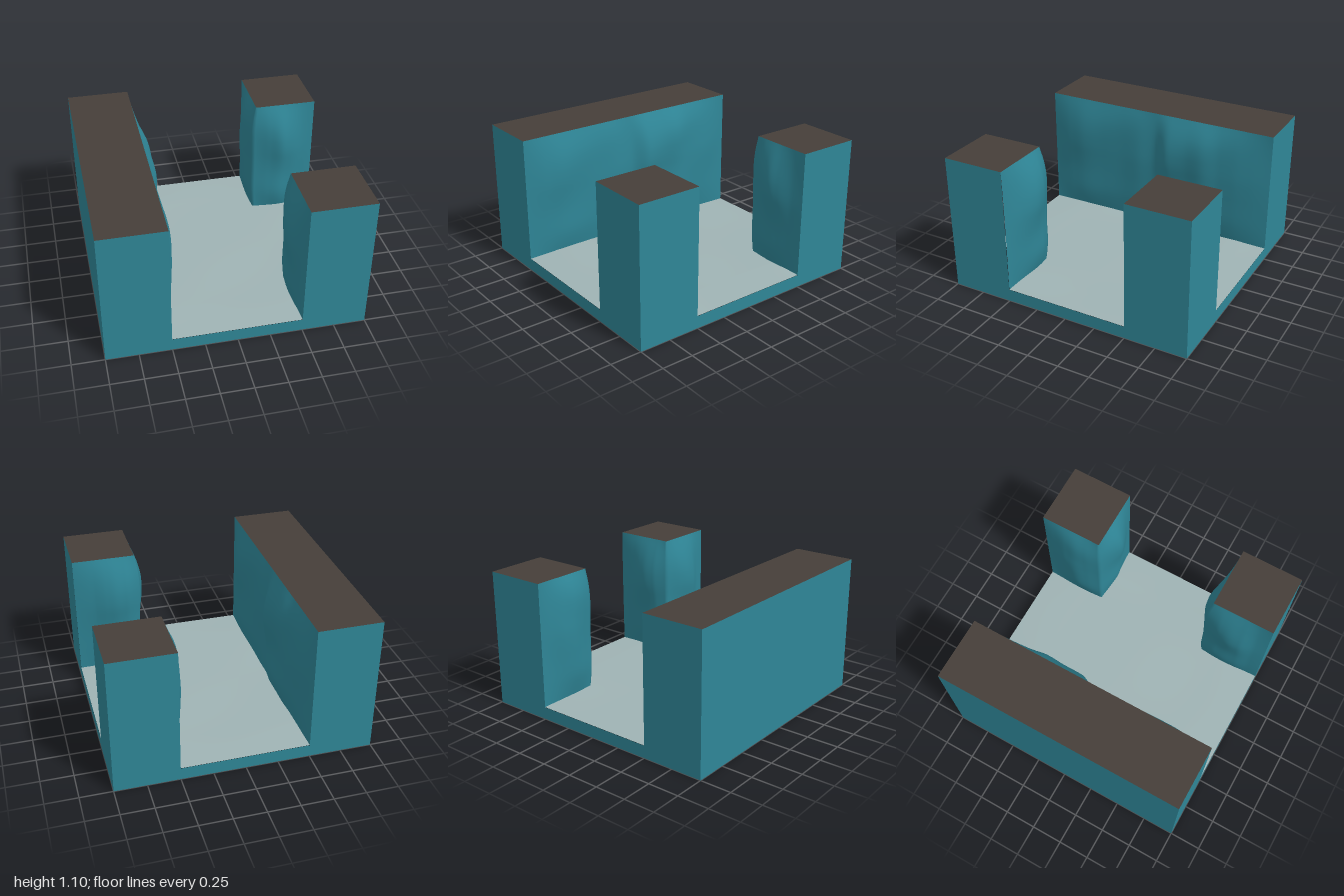
import * as THREE from 'three';

const teal = new THREE.MeshStandardMaterial({ color: 0x2f8697 });
teal.name = 'teal rock';
const brown = new THREE.MeshStandardMaterial({ color: 0x463f39 });
brown.name = 'dark brown top';
const grey = new THREE.MeshStandardMaterial({ color: 0x9fb3b4 });
grey.name = 'pale grey floor';

const BASE = 0.1, TOP = 1.1;

// Box between two corners, keeping only the listed faces (0 +x, 1 -x, 2 +y, 3 -y, 4 +z, 5 -z)
function openBox(name, min, max, faces) {
  const size = max.map((v, i) => v - min[i]);
  const geo = new THREE.BoxGeometry(...size);
  geo.translate(...max.map((v, i) => (v + min[i]) / 2));
  const all = Array.from(geo.index.array);
  const kept = [];
  geo.clearGroups();
  faces.forEach((f, i) => {
    kept.push(...all.slice(f * 6, f * 6 + 6));
    geo.addGroup(i * 6, 6, f === 2 ? 1 : 0);
  });
  geo.setIndex(kept);
  const mesh = new THREE.Mesh(geo, [teal, brown]);
  mesh.name = name;
  return mesh;
}

// Strength of the bulge from the floor (0) to the top (1)
const profile = new THREE.CatmullRomCurve3(
  [[0, 0.2], [0.1, 0.5], [0.2, 0.68], [0.35, 0.75], [0.48, 0.88], [0.6, 1], [0.73, 0.97], [0.86, 0.7], [1, 0]]
    .map(([y, s]) => new THREE.Vector3(s, y, 0)));

// Bulging rock face: each knot is [flat x, flat z, bulged x, bulged z]
function rockFace(name, knots) {
  const per = 6, rows = 24;
  const bulge = new THREE.CatmullRomCurve3(knots.map(k => new THREE.Vector3(k[2] - k[0], 0, k[3] - k[1])));
  const cols = (knots.length - 1) * per;
  const pos = [], index = [];
  for (let j = 0; j <= rows; j++) {
    const p = profile.getPoint(j / rows);
    for (let i = 0; i <= cols; i++) {
      const k = Math.min(Math.floor(i / per), knots.length - 2);
      const t = i / per - k, a = knots[k], b = knots[k + 1];
      const o = bulge.getPoint(i / cols);
      const x = a[0] + (b[0] - a[0]) * t, z = a[1] + (b[1] - a[1]) * t;
      // gentle lumps
      const s = p.x * (0.93 + 0.1 * Math.sin(7 * (x + z) + 9 * p.y));
      pos.push(x + o.x * s, BASE + p.y * (TOP - BASE), z + o.z * s);
      if (i < cols && j < rows) {
        const n = j * (cols + 1) + i, u = n + cols + 1;
        index.push(n, n + 1, u, n + 1, u + 1, u);
      }
    }
  }
  const geo = new THREE.BufferGeometry();
  geo.setAttribute('position', new THREE.Float32BufferAttribute(pos, 3));
  geo.setIndex(index);
  geo.computeVertexNormals();
  const mesh = new THREE.Mesh(geo, teal);
  mesh.name = name;
  return mesh;
}

// Slightly uneven floor patch that meets the base at the outer edges
function floorPatch(name, x0, x1, z0, z1) {
  const geo = new THREE.PlaneGeometry(x1 - x0, z1 - z0, 16, 24);
  geo.rotateX(-Math.PI / 2);
  geo.translate((x0 + x1) / 2, 0, (z0 + z1) / 2);
  const p = geo.attributes.position;
  for (let i = 0; i < p.count; i++) {
    const x = p.getX(i), z = p.getZ(i);
    const fade = Math.min(1, 4 * (1 - Math.abs(z)), 4 * (1 - x));
    p.setY(i, BASE + 0.002 + fade * (0.009 + 0.004 * Math.sin(4 * x + 1) * Math.cos(5 * z)));
  }
  geo.computeVertexNormals();
  const mesh = new THREE.Mesh(geo, grey);
  mesh.name = name;
  return mesh;
}

export function createModel() {
  const model = new THREE.Group();
  model.name = 'dungeonTile';

  // Base slab and floor
  model.add(openBox('base', [-1, 0, -1], [1, BASE, 1], [0, 1, 3, 4, 5]));
  model.add(floorPatch('floor', -0.5, 0.5, -1, 1));
  model.add(floorPatch('sideFloor', 0.5, 1, -0.5, 0.5));

  // Long wall
  model.add(openBox('wall', [-1, BASE, -1], [-0.5, TOP, 1], [1, 2, 4, 5]));
  const wallPlan = [[1, 0], [0.84, 0.04], [0.68, 0.06], [0.5, 0.05], [0.34, 0.045], [0.18, 0.05], [0.02, 0.035],
    [-0.13, 0.095], [-0.28, 0.09], [-0.42, 0.1], [-0.57, 0.07], [-0.72, 0.055], [-0.86, 0.03], [-1, 0]];
  model.add(rockFace('wallRockFace', wallPlan.map(([z, d]) => [-0.5, z, -0.5 + d, z])));

  // Corner posts
  model.add(openBox('frontPost', [0.5, BASE, 0.5], [1, TOP, 1], [0, 2, 4]));
  model.add(openBox('backPost', [0.5, BASE, -1], [1, TOP, -0.5], [0, 2, 5]));
  model.add(rockFace('frontPostRockFace', [
    [1, 0.5, 1, 0.495], [0.85, 0.5, 0.85, 0.455], [0.76, 0.5, 0.76, 0.425], [0.67, 0.5, 0.67, 0.41],
    [0.58, 0.5, 0.58, 0.42], [0.5, 0.5, 0.47, 0.465], [0.5, 0.6, 0.43, 0.6], [0.5, 0.7, 0.418, 0.7],
    [0.5, 0.8, 0.43, 0.8], [0.5, 0.9, 0.475, 0.9], [0.5, 1, 0.5, 1]]));
  model.add(rockFace('backPostRockFace', [
    [0.5, -1, 0.5, -1], [0.5, -0.9, 0.47, -0.9], [0.5, -0.8, 0.435, -0.8], [0.5, -0.7, 0.418, -0.7],
    [0.5, -0.6, 0.435, -0.6], [0.5, -0.5, 0.47, -0.485], [0.6, -0.5, 0.6, -0.44], [0.71, -0.5, 0.71, -0.41],
    [0.8, -0.5, 0.8, -0.435], [0.9, -0.5, 0.9, -0.475], [1, -0.5, 1, -0.5]]));
  return model;
}
